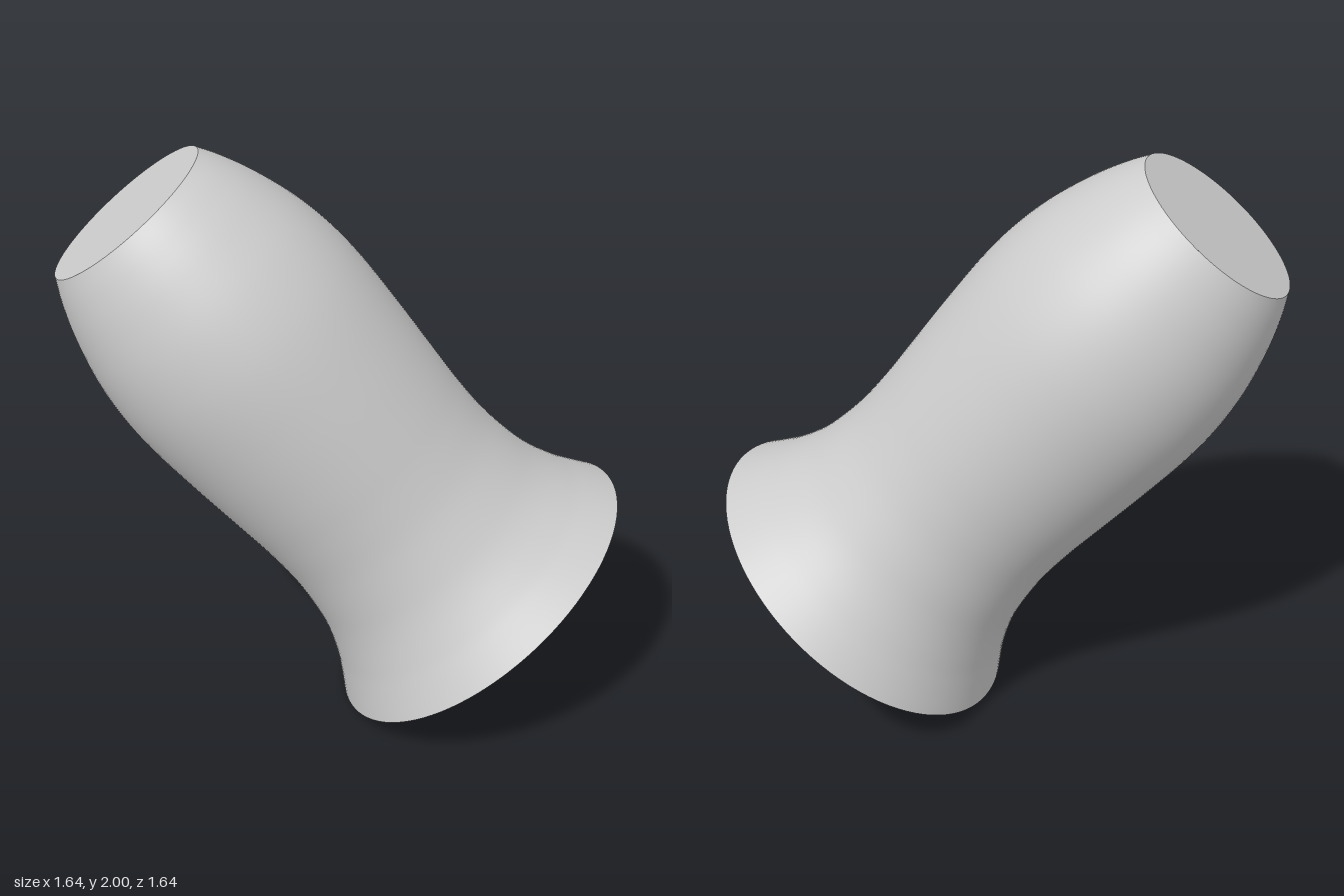
import * as THREE from 'three';

export function createModel() {
  const model = new THREE.Group();
  model.name = 'flaredVessel';
  const grey = new THREE.MeshStandardMaterial({ color: 0xcccccc });
  grey.name = 'light grey';
  const segments = 96, height = 1.834, baseRadius = 0.609, topRadius = 0.307;

  // radius and distance along the axis, from flared base to narrow top
  const profile = new THREE.SplineCurve([
    [baseRadius, 0], [0.56, 0.08], [0.522, 0.15], [0.481, 0.25], [0.456, 0.35],
    [0.438, 0.5], [0.439, 0.65], [0.449, 0.8], [0.463, 1.0], [0.472, 1.2],
    [0.466, 1.35], [0.441, 1.5], [0.395, 1.65], [0.348, 1.76], [topRadius, height],
  ].map(([r, y]) => new THREE.Vector2(r, y)));

  const vessel = new THREE.Group();
  vessel.name = 'tiltedVessel';
  const wall = new THREE.Mesh(new THREE.LatheGeometry(profile.getPoints(70), segments), grey);
  wall.name = 'curvedWall';
  vessel.add(wall);

  // flat end discs
  const addDisc = (name, radius, y, facing) => {
    const geometry = new THREE.CircleGeometry(radius, segments).rotateX(-facing * Math.PI / 2);
    const disc = new THREE.Mesh(geometry, grey);
    disc.name = name;
    disc.position.y = y;
    vessel.add(disc);
  };
  addDisc('baseDisc', baseRadius, 0, -1);
  addDisc('topDisc', topRadius, height, 1);

  // lean the axis towards the back right
  const axis = new THREE.Vector3(-0.447, 0.775, -0.447).normalize();
  vessel.quaternion.setFromUnitVectors(new THREE.Vector3(0, 1, 0), axis);
  vessel.position.set(0.273, 0.385, 0.273);
  model.add(vessel);
  return model;
}
